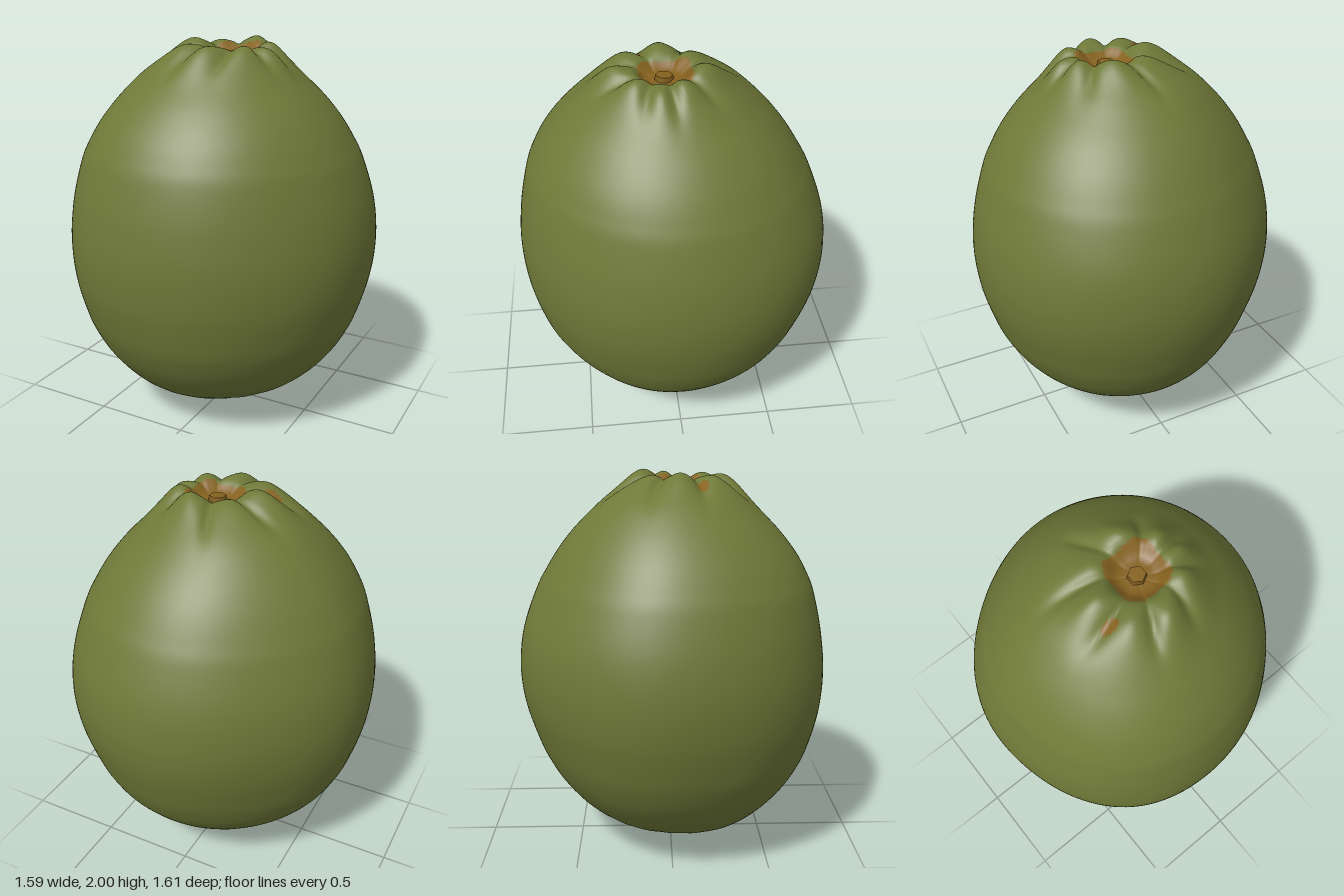
import * as THREE from 'three';

const COLS = 128, ROWS = 170;
const smooth = THREE.MathUtils.smoothstep;
const bump = (d, width) => Math.exp(-((d / width) ** 2));
// bump around a direction, in degrees measured from +x towards +z
const angleBump = (a, deg, width) => {
  const d = a - THREE.MathUtils.degToRad(deg);
  return bump(Math.atan2(Math.sin(d), Math.cos(d)), width);
};

// Radius and height from the bottom nipple up over the body and down into the stem pit
const profile = new THREE.SplineCurve([
  [0, 0.003], [0.04, 0.014], [0.075, 0.045], [0.12, 0.084], [0.21, 0.112], [0.33, 0.146], [0.44, 0.202],
  [0.545, 0.288], [0.63, 0.39], [0.688, 0.49], [0.733, 0.6], [0.785, 0.8], [0.8, 1.0], [0.776, 1.2],
  [0.717, 1.4], [0.67, 1.5], [0.61, 1.6], [0.532, 1.7], [0.45, 1.785], [0.365, 1.862], [0.28, 1.918],
  [0.2, 1.955], [0.15, 1.96], [0.12, 1.94], [0.08, 1.915], [0, 1.915],
].map(([r, y]) => new THREE.Vector2(r, y)));

// Lopsided cross-section: direction, amount, angular width
const swells = [
  [-50, 0.028, 0.6], [-131, -0.042, 0.5], [122, 0.03, 0.45], [48, -0.022, 0.45], [170, -0.012, 0.3],
];
// Puckered lumps around the pit: direction, height, angular width, distance from the pit
const lumps = [
  [-72, 0.043, 0.4, 0.2], [-20, 0.03, 0.24, 0.22], [10, 0.025, 0.18, 0.27], [43, 0.032, 0.26, 0.24],
  [88, 0.042, 0.3, 0.26], [130, 0.036, 0.26, 0.25], [178, 0.043, 0.32, 0.22], [-132, 0.02, 0.3, 0.2],
];
// Creases running outwards between the lumps
const creases = [-103, -42, -5, 26, 64, 110, 153, -153];

function skinPoint(p, a) {
  const r = Math.max(0, p.x);
  let y = p.y;
  let k = 1;
  for (const [deg, amount, w] of swells) k += amount * angleBump(a, deg, w) * smooth(r, 0.2, 0.7);
  // faint unevenness, fine wrinkles near the bottom
  k += 0.002 * Math.sin(5 * a + 4 * y) * Math.sin(3 * y);
  const low = (1 - smooth(y, 0.12, 0.4)) * smooth(r, 0.05, 0.2);
  y += low * 0.003 * Math.sin(9 * a + 14 * r) * Math.sin(32 * r + 5 * Math.sin(3 * a));
  // fuller underside on one flank
  if (p.y < 0.8) y -= 0.028 * angleBump(a, 130, 0.85) * bump(r - 0.4, 0.2);
  // lumps and creases
  if (p.y > 1.5) {
    const bend = a + 0.6 * (r - 0.2) * Math.sin(4 * a);
    let lift = 0;
    for (const [deg, h, w, at] of lumps) {
      lift += h * angleBump(bend, deg, w) * bump(r - at, r < at ? 0.075 : 0.1);
    }
    for (const deg of creases) lift -= 0.022 * angleBump(bend, deg, 0.11) * bump(r - 0.25, 0.11);
    y += lift;
  }
  // the pit and the nipple both sit off the axis
  const end = 1 - smooth(r, 0.1, 0.45);
  const cx = -0.004 + (p.y > 1 ? 0.066 : 0.053) * end;
  const cz = p.y > 1 ? 0.028 * smooth(p.y, 1.1, 1.6) + 0.012 * end : 0.012 * (1 - end) * (1 - smooth(p.y, 0.5, 1));
  return [cx + r * k * Math.cos(a), Math.min(2, y), cz + r * k * Math.sin(a)];
}

// Brown areas: squarish stem pit, a fleck beside it, one low on the side, one on the nipple
function isBrown(x, y, z) {
  if (y > 1.5) {
    const pit = Math.max(Math.abs(x - 0.07), Math.abs(z - 0.035)) < 0.125 && Math.hypot(x - 0.07, z - 0.035) < 0.15;
    return pit || Math.hypot((x + 0.18) * 0.7, z - 0.155) < 0.03;
  }
  return y < 0.5 && (Math.hypot(x - 0.3, z + 0.31) < 0.026 || Math.hypot(x - 0.065, z + 0.02) < 0.018);
}

function fruitGeometry() {
  const pos = [], green = [], brown = [];
  for (const p of profile.getSpacedPoints(ROWS)) {
    for (let j = 0; j < COLS; j++) pos.push(...skinPoint(p, (j / COLS) * Math.PI * 2));
  }
  const mid = (tri, axis) => tri.reduce((s, v) => s + pos[v * 3 + axis], 0) / 3;
  for (let i = 0; i < ROWS; i++) {
    for (let j = 0; j < COLS; j++) {
      const n = (j + 1) % COLS;
      const a = i * COLS + j, b = a + COLS, c = (i + 1) * COLS + n, d = i * COLS + n;
      for (const tri of [[a, b, c], [a, c, d]]) {
        (isBrown(mid(tri, 0), mid(tri, 1), mid(tri, 2)) ? brown : green).push(...tri);
      }
    }
  }
  const g = new THREE.BufferGeometry();
  g.setAttribute('position', new THREE.Float32BufferAttribute(pos, 3));
  g.setIndex([...green, ...brown]);
  g.addGroup(0, green.length, 0);
  g.addGroup(green.length, brown.length, 1);
  g.computeVertexNormals();
  return g;
}

export function createModel() {
  const peel = new THREE.MeshStandardMaterial({ color: 0x6f7938 });
  peel.name = 'green peel';
  const scar = new THREE.MeshStandardMaterial({ color: 0x85621f });
  scar.name = 'brown stem scar';

  const model = new THREE.Group();
  model.name = 'citrusFruit';

  const fruit = new THREE.Mesh(fruitGeometry(), [peel, scar]);
  fruit.name = 'fruit';
  model.add(fruit);

  // Low six-sided stem stub in the pit
  const stub = new THREE.Mesh(new THREE.CylinderGeometry(0.042, 0.048, 0.04, 6), scar);
  stub.name = 'stemStub';
  stub.position.set(0.063, 1.917, 0.04);
  model.add(stub);
  return model;
}
